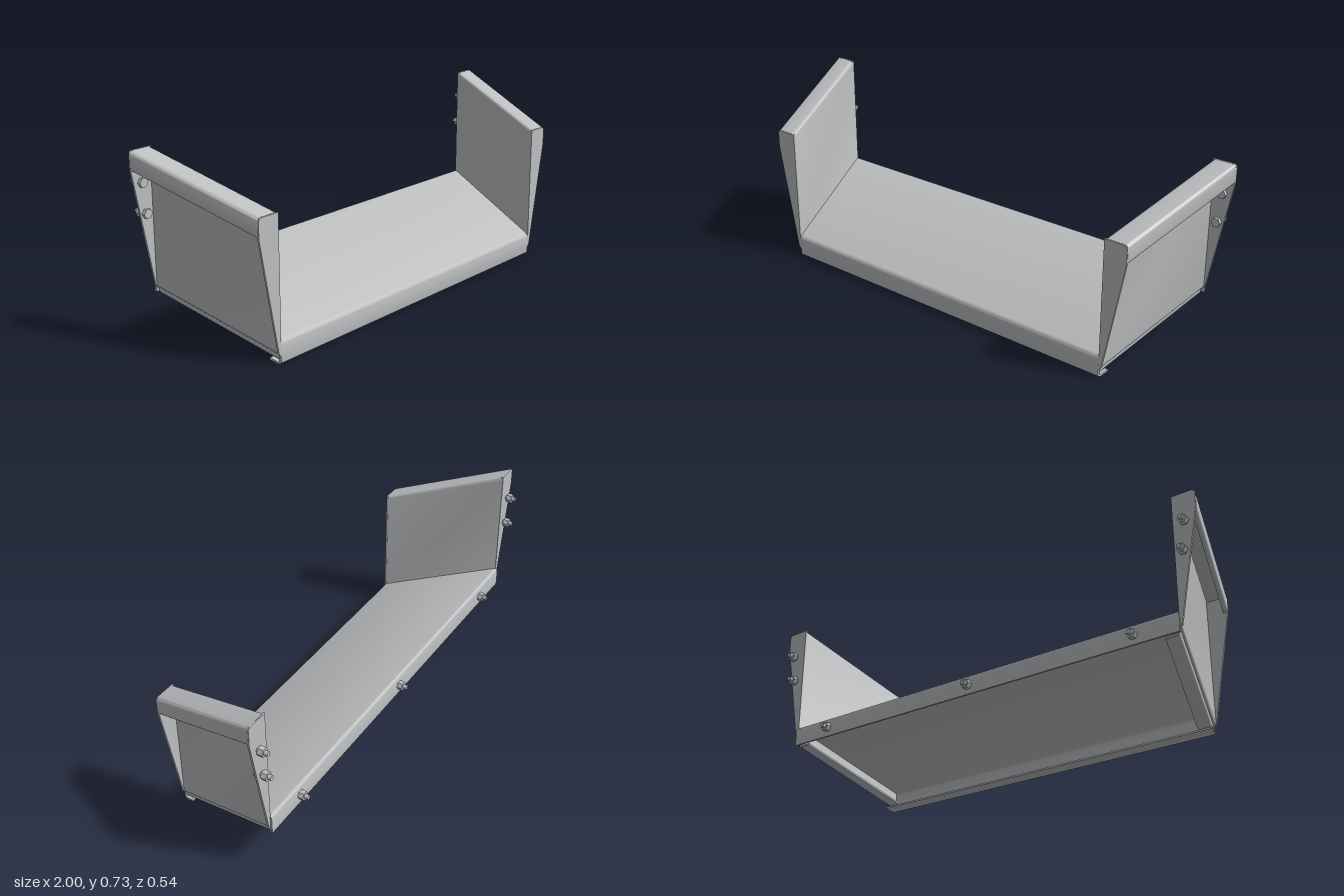
import * as THREE from 'three';
import { toCreasedNormals } from 'three/addons/utils/BufferGeometryUtils.js';

const T = 0.008;                        // sheet thickness
const FRONT = 0.266, BACK = -0.221;     // sheet mid-planes at both ends
const SPREAD = 0.13, RISE = 0.175;      // how far the section moves out and up towards the back

// Closed outline of a bent sheet that follows a centre line with rounded bends
function bentOutline(path, r) {
  const P = path.map(([x, y]) => new THREE.Vector2(x, y));
  const line = [P[0]];
  for (let i = 1; i < P.length - 1; i++) {
    const toward = (q) => {
      const d = q.clone().sub(P[i]);
      return P[i].clone().add(d.setLength(Math.min(r, d.length() * 0.45)));
    };
    const bend = new THREE.QuadraticBezierCurve(toward(P[i - 1]), P[i], toward(P[i + 1]));
    line.push(...bend.getPoints(6));
  }
  line.push(P[P.length - 1]);
  const side = (s) => line.map((p, i) => {
    const a = line[Math.max(i - 1, 0)], b = line[Math.min(i + 1, line.length - 1)];
    const d = b.clone().sub(a).normalize();
    return new THREE.Vector2(p.x - d.y * s, p.y + d.x * s);
  });
  return new THREE.Shape([...side(T / 2), ...side(-T / 2).reverse()]);
}

const extrude = (shape, depth) =>
  new THREE.ExtrudeGeometry(shape, { depth, bevelEnabled: false, steps: 1 });

// Move every vertex by a rule, then restore normals with sharp sheet edges
function reshape(geometry, rule) {
  const pos = geometry.attributes.position, v = new THREE.Vector3();
  for (let i = 0; i < pos.count; i++) {
    v.fromBufferAttribute(pos, i);
    rule(v);
    pos.setXYZ(i, v.x, v.y, v.z);
  }
  return toCreasedNormals(geometry, 0.6);
}

// Sweep a front section backwards while it shifts outward and upward
function sideSweep(path, s, zBack, zFront, r) {
  const shape = bentOutline(path.map(([x, y]) => [x * s, y]), r);
  return reshape(extrude(shape, 1), (v) => {
    v.z = zBack + (zFront - zBack) * v.z;
    const u = (FRONT - v.z) / (FRONT - BACK);
    v.x += s * SPREAD * u;
    v.y += RISE * u;
  });
}

export function createModel() {
  const model = new THREE.Group();
  const steel = new THREE.MeshStandardMaterial({ color: 0xbcbec0 });
  steel.name = 'galvanised grey';
  const add = (parent, name, geometry) => {
    const mesh = new THREE.Mesh(geometry, steel);
    mesh.name = name;
    parent.add(mesh);
    return mesh;
  };

  // Sloping floor with hemmed front lip and rear flange, widening to the back
  const floorPath = [[0.223, 0.017], [FRONT, 0.003], [FRONT, 0.088], [-0.229, 0.268], [-0.229, 0.19]];
  add(model, 'floor', reshape(extrude(bentOutline(floorPath, 0.014), 2), (v) => {
    const half = 0.776 + SPREAD * (FRONT - v.x) / (FRONT - BACK);
    v.set((1 - v.z) * half, v.y, v.x);
  }));

  // Hexagonal or round piece lying along z
  const rod = (radius, z0, z1, sides) => {
    const g = new THREE.CylinderGeometry(radius, radius, z1 - z0, sides);
    g.rotateY(Math.PI / 6).rotateX(Math.PI / 2).translate(0, 0, (z0 + z1) / 2);
    return toCreasedNormals(g, 0.6);
  };
  const headGeo = rod(0.019, -0.218, -0.203, 6);
  const nutGeo = rod(0.019, -0.254, -0.232, 6);
  const shankGeo = rod(0.0095, -0.268, -0.21, 20);
  const bolt = (x, y) => {
    const g = new THREE.Group();
    g.name = 'bolt';
    add(g, 'boltHead', headGeo);
    add(g, 'nut', nutGeo);
    add(g, 'shank', shankGeo);
    g.position.set(x, y, 0);
    model.add(g);
  };

  for (const s of [-1, 1]) {
    const wall = new THREE.Group();
    wall.name = s > 0 ? 'leftWall' : 'rightWall';
    model.add(wall);

    // Side panel, top flange and turned-down outer lip in one bent sheet
    add(wall, 'sidePanel', sideSweep(
      [[0.85, 0.489], [0.866, 0.489], [0.866, 0.556], [0.779, 0.556], [0.779, 0.042], [0.764, 0.042]],
      s, BACK, FRONT, 0.012));

    // Hem below the floor edge
    add(wall, 'floorHem', sideSweep(
      [[0.768, 0.086], [0.768, 0.014], [0.715, 0.014]], s, -0.217, 0.26, 0.01));

    // Tapered end flanges
    const flange = new THREE.Shape([[0.775, 0.559], [0.86, 0.559], [0.869, 0.55], [0.869, 0.485],
      [0.786, 0.045], [0.775, 0.032]].map(([x, y]) => new THREE.Vector2(x * s, y)));
    const flangeGeo = extrude(flange, T);
    add(wall, 'frontFlange', flangeGeo).position.z = FRONT - T / 2;
    add(wall, 'backFlange', flangeGeo).position.set(s * SPREAD, RISE, BACK - T / 2);

    // Wall bolts and outer floor bolts
    bolt(s * 0.955, 0.613);
    bolt(s * 0.943, 0.497);
    bolt(s * 0.727, 0.228);
  }
  bolt(0, 0.228);

  return model;
}
